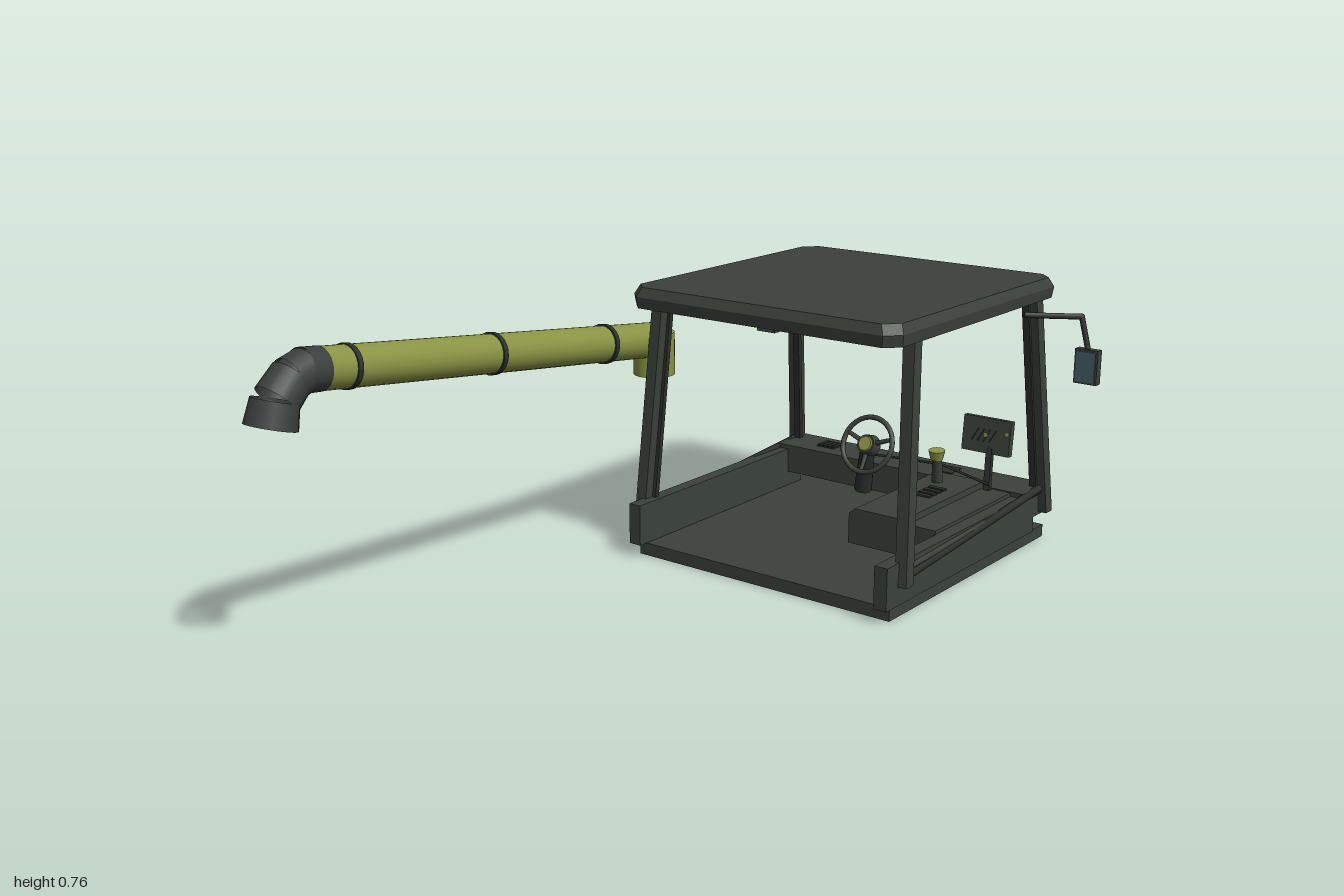
import * as THREE from 'three';

const mat = (name, color, side = THREE.FrontSide) => {
  const m = new THREE.MeshStandardMaterial({ color, side });
  m.name = name;
  return m;
};

export function createModel() {
  const M = {
    body: mat('body grey green', 0x3b423a),
    trim: mat('dark trim', 0x2b302c),
    rubber: mat('spout rubber', 0x3a3f3e, THREE.DoubleSide),
    yellow: mat('auger yellow green', 0x8a9444),
    glass: mat('mirror glass', 0x486069),
  };
  const model = new THREE.Group();
  model.name = 'harvesterCab';
  const V = (x, y, z) => new THREE.Vector3(x, y, z);

  const add = (name, geo, material, parent = model) => {
    const mesh = new THREE.Mesh(geo, material);
    mesh.name = name;
    parent.add(mesh);
    return mesh;
  };
  // Box given by its min and max corners
  const box = (name, a, b, material, parent) => {
    const m = add(name, new THREE.BoxGeometry(b[0] - a[0], b[1] - a[1], b[2] - a[2]), material, parent);
    m.position.set((a[0] + b[0]) / 2, (a[1] + b[1]) / 2, (a[2] + b[2]) / 2);
    return m;
  };
  // Round rod between two points
  const rod = (name, a, b, r0, r1, material, sides = 12, open = false, parent = model) => {
    const d = b.clone().sub(a);
    const m = add(name, new THREE.CylinderGeometry(r1, r0, d.length(), sides, 1, open), material, parent);
    m.position.copy(a).add(b).multiplyScalar(0.5);
    m.quaternion.setFromUnitVectors(V(0, 1, 0), d.normalize());
    return m;
  };
  // Rectangular bar between two points, its sides kept along x and z
  const bar = (name, a, b, w, d, material) => {
    const geo = new THREE.BoxGeometry(w, 1, d);
    const p = geo.attributes.position;
    for (let i = 0; i < p.count; i++) {
      const c = a.clone().lerp(b, p.getY(i) + 0.5);
      p.setXYZ(i, c.x + p.getX(i), c.y, c.z + p.getZ(i));
    }
    geo.computeVertexNormals();
    return add(name, geo, material);
  };

  // Floor, side walls and rear dash
  box('floor', [-0.4, 0, -1], [0.4, 0.035, -0.195], M.body);
  box('dash', [-0.41, 0.08, -0.985], [0.41, 0.163, -0.85], M.body);
  for (const s of [-1, 1]) {
    const wall = box('sideWall', [-0.0185, 0.037, -0.92], [0.0185, 0.15, -0.163], M.body);
    wall.position.x = s * 0.3915;
    // Pillars with a dark seal along the inner edge
    for (const [z0, z1, dz] of [[-0.23, -0.28, -1], [-0.965, -0.895, 1]]) {
      bar('pillar', V(s * 0.418, 0.088, z0), V(s * 0.388, 0.7, z1), 0.033, 0.034, M.body);
      bar('pillarSeal', V(s * 0.4, 0.088, z0 + dz * 0.018), V(s * 0.373, 0.7, z1 + dz * 0.018), 0.02, 0.014, M.trim);
    }
    rod('sillRail', V(s * 0.412, 0.105, -0.23), V(s * 0.412, 0.16, -0.97), 0.011, 0.011, M.trim, 8);
    rod('lowerSillRail', V(s * 0.41, 0.125, -0.24), V(s * 0.41, 0.15, -0.95), 0.008, 0.008, M.body, 8);
  }

  // Roof: eight-sided plate with bevelled rim, lofted from three outlines
  const ring = (inset, y) => {
    const x = 0.412 - inset, z = 0.416 - inset, c = 0.035;
    return [[x, z - c], [x - c, z], [c - x, z], [-x, z - c], [-x, c - z], [c - x, -z], [x - c, -z], [x, c - z]]
      .map(([px, pz]) => V(px, y, pz - 0.579));
  };
  const rings = [ring(0.004, 0.69), ring(0, 0.72), ring(0.012, 0.745)];
  const pts = [];
  const tri = (...v) => v.forEach((p) => pts.push(p.x, p.y, p.z));
  for (let k = 0; k < 2; k++) {
    for (let i = 0; i < 8; i++) {
      const j = (i + 1) % 8, a = rings[k], b = rings[k + 1];
      tri(a[i], b[j], a[j], a[i], b[i], b[j]);
    }
  }
  for (let i = 1; i < 7; i++) {
    tri(rings[2][0], rings[2][i + 1], rings[2][i]);
    tri(rings[0][0], rings[0][i], rings[0][i + 1]);
  }
  const roofGeo = new THREE.BufferGeometry();
  roofGeo.setAttribute('position', new THREE.Float32BufferAttribute(pts, 3));
  roofGeo.computeVertexNormals();
  add('roof', roofGeo, M.body);

  // Mirrors on bent arms
  for (const s of [-1, 1]) {
    const path = [V(0.385, 0.657, -0.85), V(0.42, 0.655, -0.88), V(0.5, 0.65, -0.955), V(0.526, 0.555, -0.955)];
    path.forEach((p) => { p.x *= s; });
    for (let i = 0; i < 3; i++) rod('mirrorArm', path[i], path[i + 1], 0.008, 0.008, M.trim, 8);
    const joint = add('mirrorArmElbow', new THREE.SphereGeometry(0.0085, 8, 6), M.trim);
    joint.position.copy(path[2]);
    const head = new THREE.Group();
    head.name = 'mirror';
    head.position.set(s * 0.526, 0.519, -0.952);
    model.add(head);
    box('mirrorHousing', [-0.033, -0.047, -0.013], [0.033, 0.047, 0.011], M.body, head);
    box('mirrorGlass', [-0.027, -0.041, 0.01], [0.027, 0.041, 0.014], M.glass, head);
  }

  // Unloading auger: elbow housing, tube and clamp bands
  const X = -0.468;
  const from = V(X, 0.563, -0.34), to = V(X, 0.702, 0.81);
  const onTube = (z) => from.clone().lerp(to, (z - from.z) / (to.z - from.z));
  rod('augerElbow', V(X, 0.468, -0.343), V(X, 0.585, -0.343), 0.057, 0.057, M.yellow, 24);
  rod('augerTube', from, to, 0.048, 0.05, M.yellow, 24);
  for (const z of [-0.135, 0.275, 0.725]) rod('augerBand', onTube(z - 0.007), onTube(z + 0.007), 0.053, 0.053, M.trim, 24);
  // Spout of overlapping rubber sleeves turning down
  const sleeves = [
    [0.8, 0.701, 0.85, 0.706, 0.051, 0.052],
    [0.832, 0.708, 0.88, 0.693, 0.05, 0.051],
    [0.872, 0.7, 0.92, 0.653, 0.05, 0.053],
    [0.923, 0.655, 0.94, 0.597, 0.054, 0.06],
  ];
  for (const [z0, y0, z1, y1, r0, r1] of sleeves) rod('spoutSleeve', V(X, y0, z0), V(X, y1, z1), r0, r1, M.rubber, 20, true);
  const bend = add('spoutBend', new THREE.SphereGeometry(0.049, 20, 12), M.rubber);
  bend.position.set(X, 0.697, 0.862);

  // Steering wheel facing the open side, tilted upward
  const wheel = new THREE.Group();
  wheel.name = 'steeringWheel';
  wheel.position.set(-0.055, 0.235, -0.79);
  wheel.rotation.x = -0.42;
  model.add(wheel);
  add('wheelRim', new THREE.TorusGeometry(0.08, 0.0075, 8, 32), M.body, wheel);
  for (const a of [0.35, Math.PI - 0.35, -Math.PI / 2]) {
    rod('wheelSpoke', V(0, 0, -0.005), V(Math.cos(a) * 0.08, Math.sin(a) * 0.08, 0), 0.008, 0.006, M.body, 8, false, wheel);
  }
  rod('wheelHub', V(0, 0, -0.02), V(0, 0, 0.012), 0.032, 0.027, M.body, 20, false, wheel);
  rod('wheelCap', V(0, 0, 0.01), V(0, 0, 0.017), 0.023, 0.02, M.yellow, 20, false, wheel);
  rod('steeringColumn', V(-0.085, 0.09, -0.82), V(-0.058, 0.225, -0.797), 0.026, 0.021, M.trim, 14);

  // Side console with chamfered upper edge
  const outline = new THREE.Shape([[0.122, 0.08], [0.122, 0.162], [0.14, 0.178], [0.29, 0.178], [0.29, 0.08]]
    .map(([x, y]) => new THREE.Vector2(x, y)));
  const consoleBox = add('console', new THREE.ExtrudeGeometry(outline, { depth: 0.42, bevelEnabled: false }), M.body);
  consoleBox.position.z = -0.85;
  box('consoleShelf', [0.29, 0.08, -0.85], [0.373, 0.16, -0.45], M.body);
  for (let i = 0; i < 4; i++) {
    box('consoleButton', [0.2, 0.176, -0.64 - i * 0.025], [0.25, 0.183, -0.625 - i * 0.025], M.trim);
    box('dashVent', [-0.3 + i * 0.016, 0.161, -0.95], [-0.289 + i * 0.016, 0.168, -0.9], M.trim);
  }
  for (const x of [-0.3, 0.1]) box('dashVentPlate', [x, 0.161, -0.955], [x + 0.06, 0.165, -0.895], M.trim);

  // Drive lever with coloured grip
  rod('driveLever', V(0.188, 0.17, -0.77), V(0.196, 0.252, -0.752), 0.016, 0.013, M.body, 12);
  rod('leverGrip', V(0.194, 0.247, -0.752), V(0.195, 0.273, -0.75), 0.017, 0.023, M.yellow, 12);

  // Monitor on a leaning post
  bar('monitorPost', V(0.31, 0.135, -0.83), V(0.294, 0.275, -0.868), 0.018, 0.014, M.trim);
  const monitor = new THREE.Group();
  monitor.name = 'monitor';
  monitor.position.set(0.282, 0.303, -0.874);
  monitor.rotation.x = -0.1;
  model.add(monitor);
  box('monitorCase', [-0.073, -0.049, -0.01], [0.073, 0.049, 0.01], M.body, monitor);
  for (let i = 0; i < 4; i++) {
    const key = box('monitorKeys', [-0.002, -0.02, 0.009], [0.002, 0.02, 0.012], M.trim, monitor);
    key.position.x = -0.035 + i * 0.018;
    key.rotation.z = -0.5;
  }
  for (const [x, y] of [[0, 0.002], [0.064, 0.014]]) {
    box('monitorLamp', [x - 0.005, y - 0.005, 0.009], [x + 0.005, y + 0.005, 0.013], M.yellow, monitor);
  }

  // Thin control linkage behind the wheel
  const link = [V(-0.04, 0.203, -0.81), V(0.17, 0.212, -0.82), V(0.315, 0.178, -0.83)];
  for (let i = 0; i < 2; i++) rod('controlLinkage', link[i], link[i + 1], 0.0035, 0.0035, M.trim, 6);

  return model;
}
